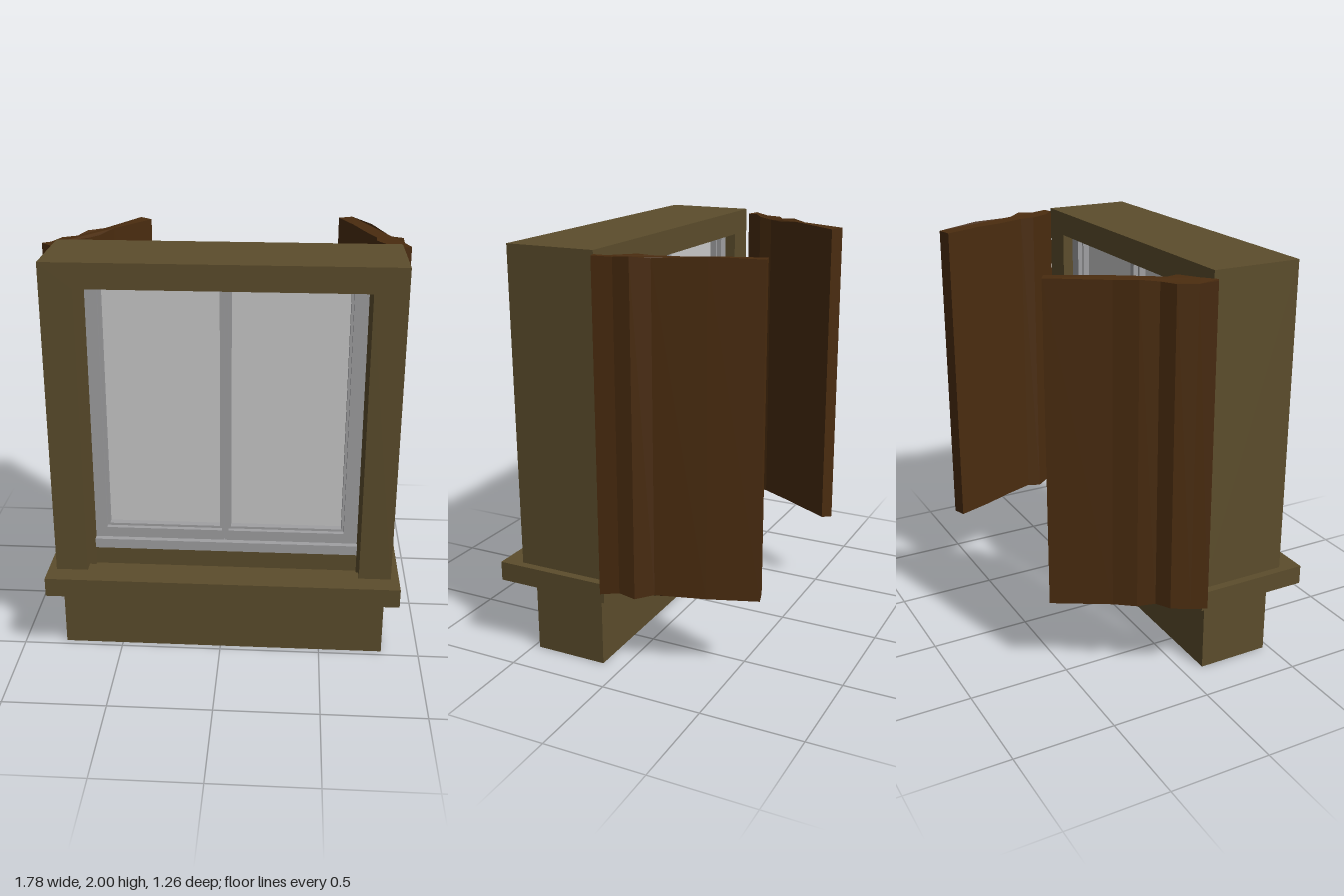
import * as THREE from 'three';

const mat = (name, color) => {
  const m = new THREE.MeshStandardMaterial({ color });
  m.name = name;
  return m;
};

// Rectangle outline, used for both shapes and holes
function rect(path, x0, y0, x1, y1) {
  path.moveTo(x0, y0);
  path.lineTo(x1, y0);
  path.lineTo(x1, y1);
  path.lineTo(x0, y1);
  path.closePath();
  return path;
}

// Flat ring with a rectangular hole, from z0 to z1
function ring(outer, inner, z0, z1) {
  const shape = rect(new THREE.Shape(), ...outer);
  shape.holes.push(rect(new THREE.Path(), ...inner));
  return new THREE.ExtrudeGeometry(shape, { depth: z1 - z0, bevelEnabled: false }).translate(0, 0, z0);
}

function box(x0, x1, y0, y1, z0, z1) {
  return new THREE.BoxGeometry(x1 - x0, y1 - y0, z1 - z0)
    .translate((x0 + x1) / 2, (y0 + y1) / 2, (z0 + z1) / 2);
}

// Warped board: a plan outline of [x, z] points raised from y0 to y1, with ragged ends
function warpedBoard(plan, y0, y1, lean) {
  const shape = new THREE.Shape(plan.map(([x, z]) => new THREE.Vector2(x, -z)));
  const geo = new THREE.ExtrudeGeometry(shape, { depth: y1 - y0, bevelEnabled: false });
  geo.rotateX(-Math.PI / 2).translate(0, y0, 0);
  const p = geo.attributes.position;
  for (let i = 0; i < p.count; i++) {
    const x = p.getX(i), y = p.getY(i), z = p.getZ(i);
    const top = (y - y0) / (y1 - y0);
    p.setY(i, y + 0.007 * Math.sin(z * 31 + x * 17 + top * 2));
    p.setX(i, x + lean * (1 - top));
  }
  geo.computeVertexNormals();
  return geo;
}

export function createModel() {
  const model = new THREE.Group();
  model.name = 'shutteredWindow';
  const stone = mat('brown stone', 0x5c4d2c);
  const wood = mat('dark wood', 0x4a2c0f);
  const metal = mat('grey frame', 0xa0a0a2);
  const glass = mat('pale glass', 0xcacaca);

  const add = (name, geo, material) => {
    const mesh = new THREE.Mesh(geo, material);
    mesh.name = name;
    model.add(mesh);
  };

  // Base block below the sill
  add('base', box(-0.79, 0.815, 0, 0.36, 0.105, 0.47), stone);

  // Sill with a sunken trough in front of the window
  const sill = ring([-0.845, -0.63, 0.875, -0.055], [-0.65, -0.47, 0.68, -0.29], 0, 0.095);
  add('sill', sill.rotateX(-Math.PI / 2).translate(0, 0.36, 0), stone);

  // Surround: two jambs and a lintel in one arch
  const arch = new THREE.Shape();
  [[-0.805, 0.455], [-0.65, 0.455], [-0.65, 1.88], [0.68, 1.88],
    [0.68, 0.455], [0.835, 0.455], [0.835, 2], [-0.805, 2]]
    .forEach(([x, y], i) => (i ? arch.lineTo(x, y) : arch.moveTo(x, y)));
  arch.closePath();
  add('surround', new THREE.ExtrudeGeometry(arch, { depth: 0.445, bevelEnabled: false }).translate(0, 0, 0.085), stone);

  // Window: bottom rail, then two sashes, each with an outer and a thinner inner frame and a pane
  add('bottomRail', box(-0.65, 0.68, 0.455, 0.505, 0.12, 0.3), metal);
  const sashes = [
    ['right', -0.65, 0.009, -0.58, -0.015],
    ['left', 0.011, 0.68, 0.04, 0.6],
  ];
  for (const [side, x0, x1, px0, px1] of sashes) {
    add(side + 'Sash', ring([x0, 0.505, x1, 1.88], [px0 - 0.012, 0.558, px1 + 0.012, 1.865], 0.14, 0.27), metal);
    add(side + 'SashLip', ring([px0 - 0.012, 0.558, px1 + 0.012, 1.865], [px0, 0.57, px1, 1.855], 0.165, 0.245), metal);
    add(side + 'Pane', box(px0, px1, 0.57, 1.855, 0.2, 0.209), glass);
  }

  // Warped shutters swung open behind the window
  add('leftShutter', warpedBoard([
    [0.88, 0.07], [0.855, -0.02], [0.855, -0.1], [0.8, -0.175], [0.72, -0.4], [0.63, -0.63],
    [0.56, -0.61], [0.63, -0.43], [0.68, -0.29], [0.73, -0.14], [0.725, -0.07], [0.8, 0.04], [0.835, 0.085],
  ], 0.415, 1.983, 0.005), wood);
  add('rightShutter', warpedBoard([
    [-0.885, 0.055], [-0.855, -0.02], [-0.82, -0.11], [-0.75, -0.15], [-0.715, -0.23], [-0.64, -0.32], [-0.49, -0.58],
    [-0.43, -0.545], [-0.59, -0.29], [-0.645, -0.185], [-0.69, -0.11], [-0.705, -0.04], [-0.8, 0.02], [-0.84, 0.085],
  ], 0.405, 1.968, -0.008), wood);

  return model;
}
